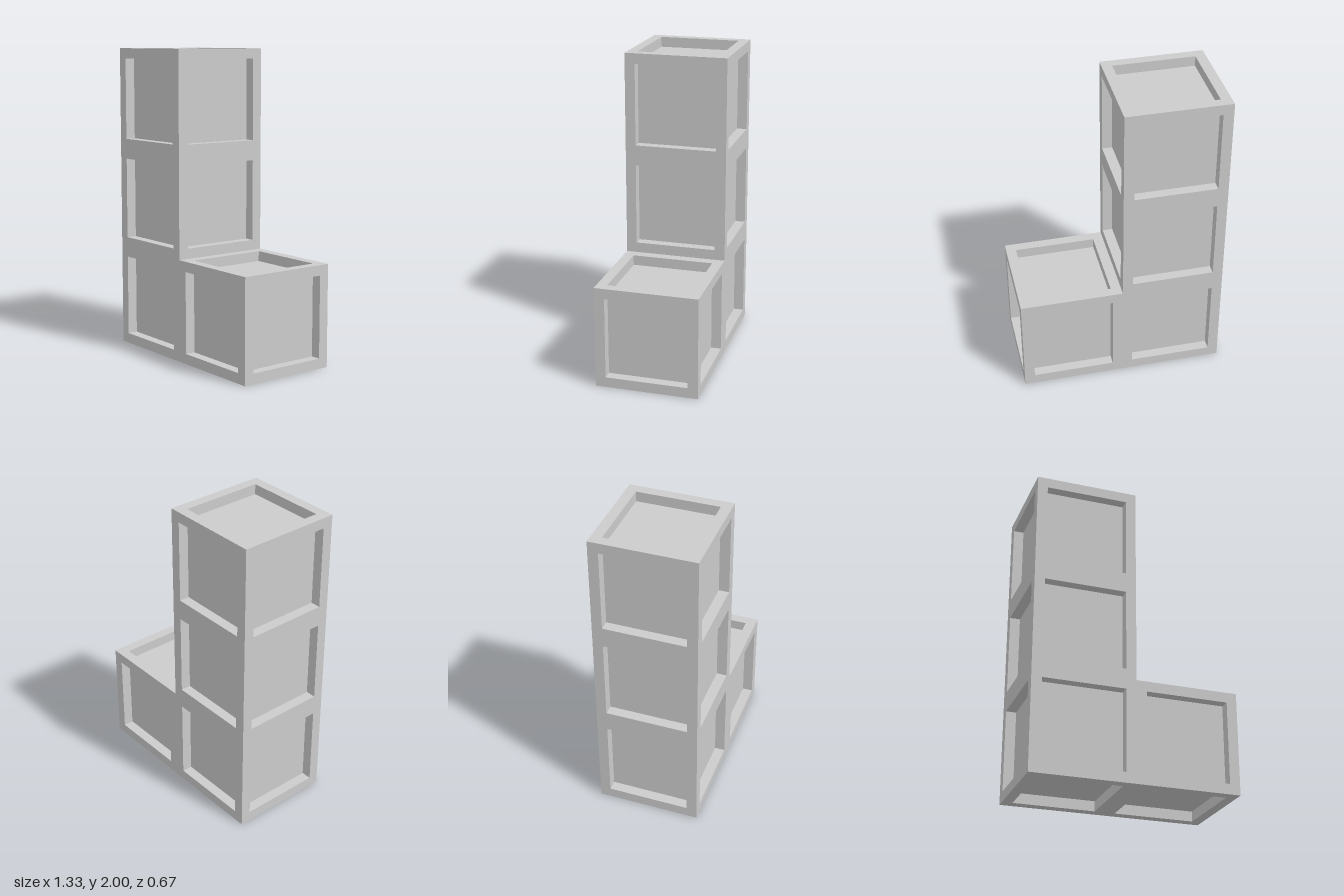
import * as THREE from 'three';
import { mergeGeometries } from 'three/addons/utils/BufferGeometryUtils.js';

const SIZE = 2 / 3;        // edge of one cube cell
const HALF = SIZE / 2;
const RIM = 0.0667;        // width of the frame and depth of the recess
const OPEN = HALF - RIM;   // half width of the recess

// Flat square border around a recess, facing +z
function frameGeometry() {
  const square = (r) => [[-r, -r], [r, -r], [r, r], [-r, r]].map(([x, y]) => new THREE.Vector2(x, y));
  const shape = new THREE.Shape(square(HALF));
  shape.holes.push(new THREE.Path(square(OPEN).reverse()));
  return new THREE.ShapeGeometry(shape).translate(0, 0, HALF);
}

// Four inward-facing side walls and the floor of a recess
function recessGeometry() {
  const parts = [new THREE.PlaneGeometry(2 * OPEN, 2 * OPEN).translate(0, 0, HALF - RIM)];
  for (let k = 0; k < 4; k++) {
    parts.push(new THREE.PlaneGeometry(2 * OPEN, RIM)
      .rotateX(Math.PI / 2)
      .translate(0, OPEN, HALF - RIM / 2)
      .rotateZ(k * Math.PI / 2));
  }
  return mergeGeometries(parts);
}

export function createModel() {
  const model = new THREE.Group();
  model.name = 'cornerBlock';
  const material = new THREE.MeshStandardMaterial({ color: 0xcccccc });
  const frame = frameGeometry();
  const recess = recessGeometry();

  // Column of three cubes plus one cube at its foot
  const cells = [['lowerCube', 0, 0], ['middleCube', 0, 1], ['upperCube', 0, 2], ['footCube', 1, 0]];
  const sides = [
    ['right', 1, 0, 0], ['left', -1, 0, 0], ['top', 0, 1, 0],
    ['bottom', 0, -1, 0], ['front', 0, 0, 1], ['back', 0, 0, -1],
  ];
  const filled = (i, j) => cells.some(([, a, b]) => a === i && b === j);
  const forward = new THREE.Vector3(0, 0, 1);

  for (const [name, i, j] of cells) {
    const cube = new THREE.Group();
    cube.name = name;
    cube.position.set((i - 0.5) * SIZE, (j + 0.5) * SIZE, 0);
    for (const [sideName, x, y, z] of sides) {
      // Faces joined to a neighbouring cube are left out
      if (z === 0 && filled(i + x, j + y)) continue;
      const side = new THREE.Group();
      side.name = sideName + 'Side';
      side.quaternion.setFromUnitVectors(forward, new THREE.Vector3(x, y, z));
      for (const [partName, geometry] of [['frame', frame], ['recessedPanel', recess]]) {
        const mesh = new THREE.Mesh(geometry, material);
        mesh.name = partName;
        side.add(mesh);
      }
      cube.add(side);
    }
    model.add(cube);
  }
  return model;
}
